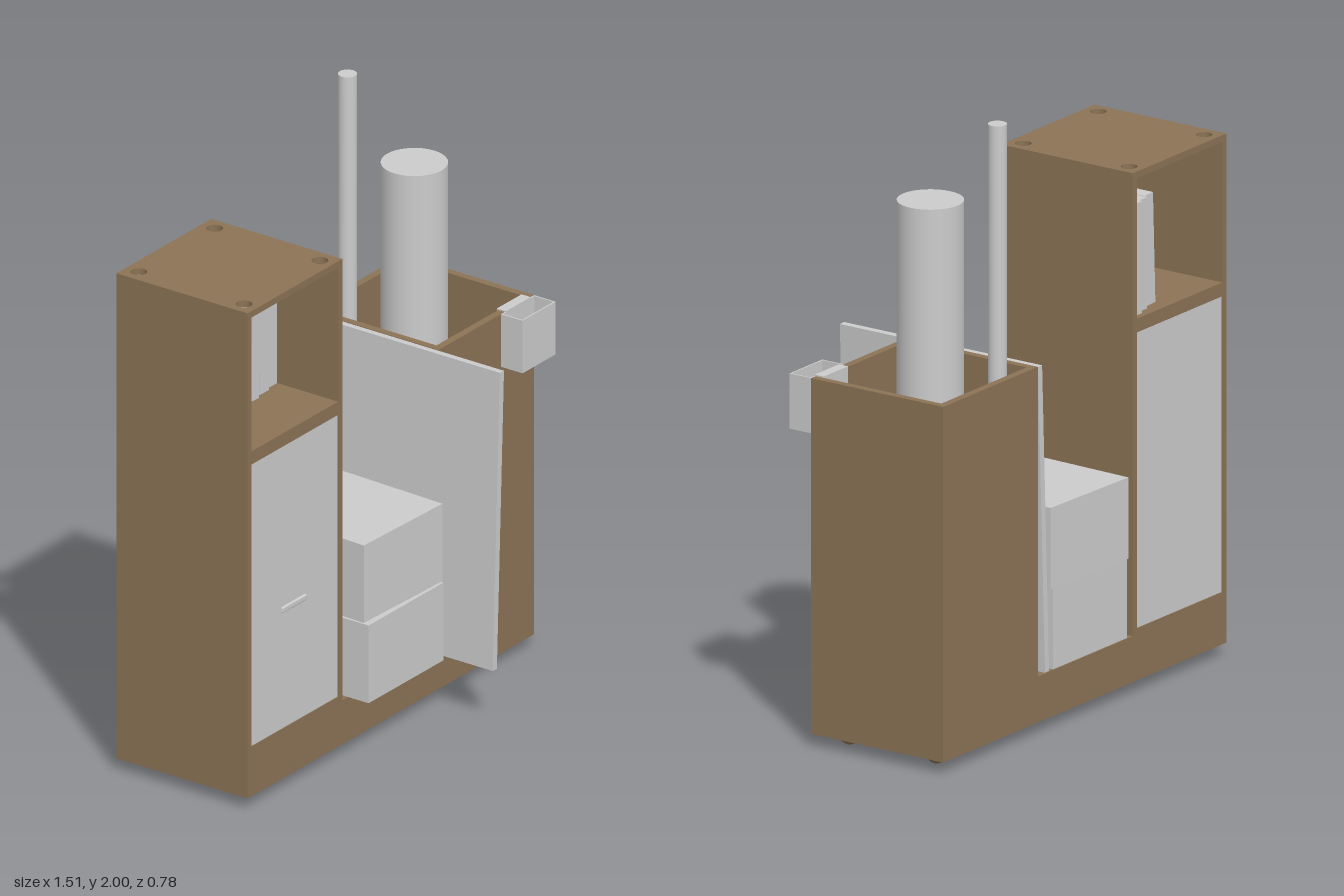
import * as THREE from 'three';
import { RoundedBoxGeometry } from 'three/addons/geometries/RoundedBoxGeometry.js';

const wood = new THREE.MeshStandardMaterial({ color: 0x8b7355 });
const grey = new THREE.MeshStandardMaterial({ color: 0xcccccc });

const BACK = -0.37, FRONT = 0.135, T = 0.022;

function add(parent, name, geometry, material, x = 0, y = 0, z = 0) {
  const mesh = new THREE.Mesh(geometry, material);
  mesh.name = name;
  mesh.position.set(x, y, z);
  parent.add(mesh);
  return mesh;
}

// Box given by its extents on each axis
function block(parent, name, material, [x0, x1], [y0, y1], [z0, z1]) {
  return add(parent, name, new THREE.BoxGeometry(x1 - x0, y1 - y0, z1 - z0), material,
    (x0 + x1) / 2, (y0 + y1) / 2, (z0 + z1) / 2);
}

// Horizontal board with a round hole near each corner
function drilledBoard(parent, name, x0, x1, top) {
  const shape = new THREE.Shape([[x0, -FRONT], [x1, -FRONT], [x1, -BACK], [x0, -BACK]]
    .map(([x, y]) => new THREE.Vector2(x, y)));
  for (const x of [x0 + 0.05, x1 - 0.05]) {
    for (const z of [BACK + 0.05, FRONT - 0.05]) {
      shape.holes.push(new THREE.Path().absarc(x, -z, 0.026, 0, Math.PI * 2, true));
    }
  }
  const geometry = new THREE.ExtrudeGeometry(shape, { depth: T, bevelEnabled: false, curveSegments: 24 });
  geometry.rotateX(-Math.PI / 2);
  return add(parent, name, geometry, wood, 0, top - T, 0);
}

function group(parent, name) {
  const g = new THREE.Group();
  g.name = name;
  parent.add(g);
  return g;
}

export function createModel() {
  const model = new THREE.Group();
  model.name = 'storageUnit';
  const depth = [BACK, FRONT];

  // Hollow plinth on ball feet
  const base = group(model, 'base');
  block(base, 'baseBottom', wood, [-0.755, 0.755], [0.04, 0.062], depth);
  block(base, 'baseFront', wood, [-0.755, 0.755], [0.062, 0.168], [FRONT - T, FRONT]);
  block(base, 'baseBack', wood, [-0.755, 0.755], [0.062, 0.168], [BACK, BACK + T]);
  for (const s of [-1, 1]) {
    const xs = [s * 0.755, s * 0.733].sort((a, b) => a - b);
    block(base, 'baseSide', wood, xs, [0.062, 0.168], [BACK + T, FRONT - T]);
    for (const z of [-0.282, 0.05]) {
      add(base, 'foot', new THREE.SphereGeometry(0.033, 24, 16), wood, s * 0.668, 0.033, z);
    }
  }
  drilledBoard(base, 'baseTop', -0.255, 0.25, 0.19);

  // Tall tower with a cupboard below and an open shelf above
  const tower = group(model, 'tower');
  block(tower, 'towerSide', wood, [-0.755, -0.733], [0.168, 1.678], depth);
  block(tower, 'towerSide', wood, [-0.277, -0.255], [0.168, 1.678], depth);
  block(tower, 'towerFloor', wood, [-0.733, -0.277], [0.168, 0.21], depth);
  block(tower, 'shelf', wood, [-0.733, -0.277], [1.175, 1.22], depth);
  drilledBoard(tower, 'towerTop', -0.755, -0.255, 1.7);
  block(tower, 'door', grey, [-0.733, -0.277], [0.21, 1.175], [FRONT - T, FRONT - 0.003]);
  block(tower, 'backPanel', grey, [-0.733, -0.277], [0.21, 1.175], [BACK + 0.003, BACK + T]);
  add(tower, 'doorHandle', new RoundedBoxGeometry(0.13, 0.022, 0.012, 3, 0.006), grey, -0.508, 0.615, FRONT - 0.003);

  // Books, the outermost one leaning on the others
  const books = group(model, 'books');
  block(books, 'book', grey, [-0.333, -0.279], [1.22, 1.585], [-0.35, -0.1]);
  block(books, 'book', grey, [-0.381, -0.335], [1.22, 1.583], [-0.335, -0.09]);
  const leaning = block(books, 'leaningBook', grey, [-0.439, -0.393], [1.221, 1.583], [-0.32, -0.08]);
  leaning.rotation.z = -0.035;

  // Open bin on the other side
  const bin = group(model, 'bin');
  const W = 0.025;
  block(bin, 'binSide', wood, [0.25, 0.25 + W], [0.168, 1.2], depth);
  block(bin, 'binSide', wood, [0.755 - W, 0.755], [0.168, 1.2], depth);
  block(bin, 'binFront', wood, [0.25 + W, 0.755 - W], [0.168, 1.2], [FRONT - W, FRONT]);
  block(bin, 'binBack', wood, [0.25 + W, 0.755 - W], [0.168, 1.2], [BACK, BACK + W]);
  block(bin, 'binFloor', wood, [0.25 + W, 0.755 - W], [0.168, 0.19], [BACK + W, FRONT - W]);

  // Rolls standing in the bin
  const roll = (name, r, top, x, z) =>
    add(model, name, new THREE.CylinderGeometry(r, r, top - 0.19, 48), grey, x, (top + 0.19) / 2, z);
  roll('wideRoll', 0.105, 1.73, 0.405, -0.07);
  roll('thinRoll', 0.03, 2, 0.34, -0.28);

  // Small open tray hooked over the bin's front wall
  const tray = group(model, 'tray');
  const t = 0.005;
  block(tray, 'trayBottom', grey, [0.58, 0.755], [1.02, 1.02 + t], [FRONT, 0.218]);
  block(tray, 'trayFront', grey, [0.58, 0.755], [1.02 + t, 1.2], [0.218 - t, 0.218]);
  block(tray, 'trayBack', grey, [0.58, 0.755], [1.02 + t, 1.2], [FRONT, FRONT + t]);
  for (const x of [0.58, 0.755 - t]) {
    block(tray, 'traySide', grey, [x, x + t], [1.02 + t, 1.2], [FRONT + t, 0.218 - t]);
  }
  block(tray, 'trayHook', grey, [0.6, 0.73], [1.2, 1.204], [FRONT - W - t, FRONT + t]);
  block(tray, 'trayHookFlap', grey, [0.6, 0.73], [1.13, 1.2], [FRONT - W - t, FRONT - W]);

  // Two stacked boxes, the upper one slightly askew
  block(model, 'lowerBox', grey, [-0.227, 0.167], [0.191, 0.457], [-0.368, 0.215]);
  const upper = block(model, 'upperBox', grey, [-0.215, 0.18], [0.46, 0.725], [-0.383, 0.203]);
  upper.rotation.y = -0.036;

  // Board leaning against the bin
  const board = block(model, 'leaningBoard', grey, [0.209, 0.231], [0.192, 1.199], [-0.37, 0.388]);
  board.rotation.z = -0.037;

  return model;
}
